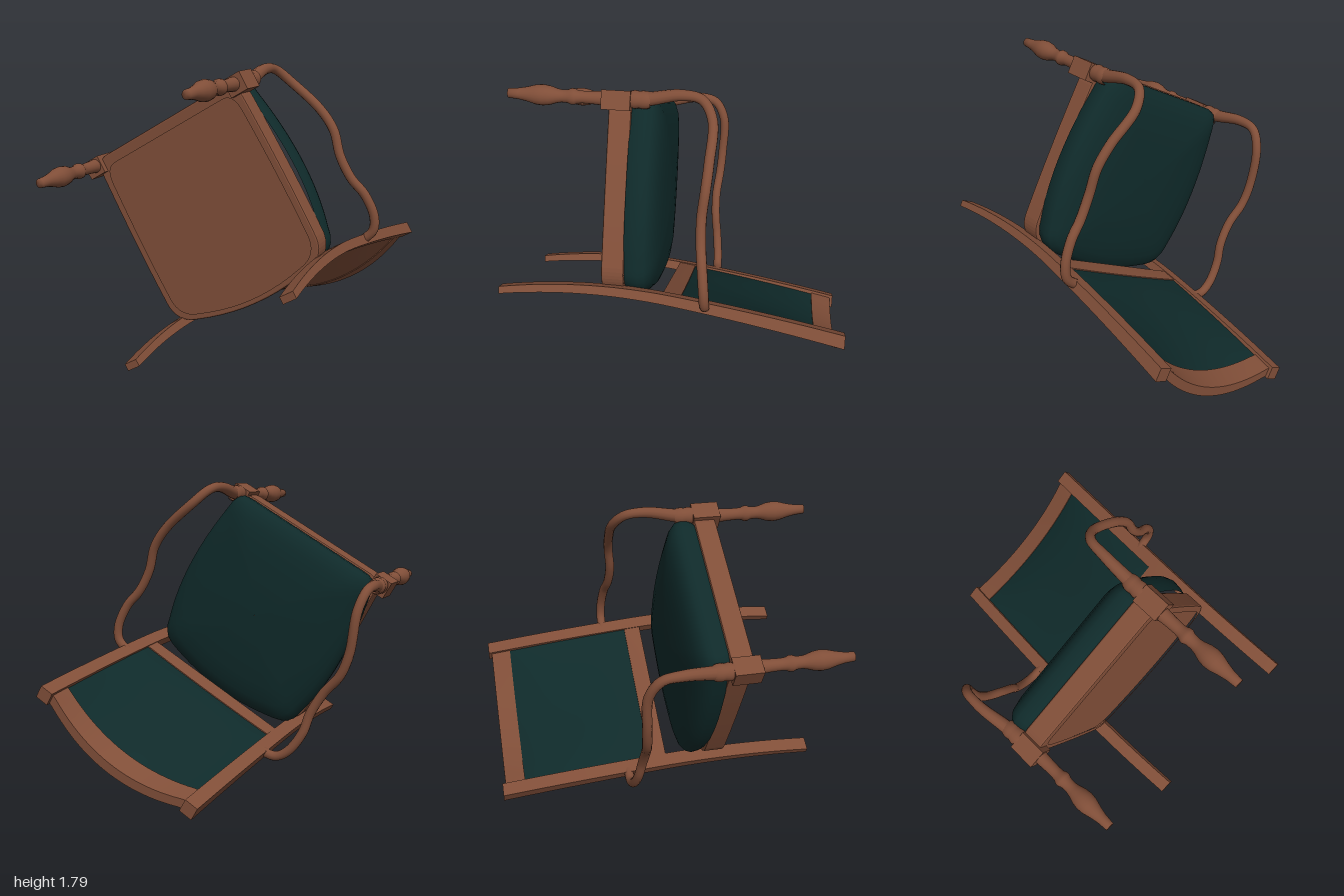
import * as THREE from 'three';

const wood = new THREE.MeshStandardMaterial({ color: 0x804e38 });
wood.name = 'brown wood';
const fabric = new THREE.MeshStandardMaterial({ color: 0x0f2a2a });
fabric.name = 'dark green fabric';

// Seat plan in (x, z): straight front, bowed sides, rounded and curved back
function seatOutline(w, bow, front) {
  const s = new THREE.Shape();
  s.moveTo(-w + 0.08, front);
  s.lineTo(w - 0.08, front);
  s.quadraticCurveTo(w - 0.01, front, w, front - 0.1);
  s.quadraticCurveTo(w + bow, 0.02, w + 0.01, -0.36);
  s.quadraticCurveTo(w, -0.48, w - 0.13, -0.505);
  s.quadraticCurveTo(0, -0.61, -w + 0.13, -0.505);
  s.quadraticCurveTo(-w, -0.48, -w - 0.01, -0.36);
  s.quadraticCurveTo(-w - bow, 0.02, -w, front - 0.1);
  s.quadraticCurveTo(-w + 0.01, front, -w + 0.08, front);
  return s;
}

// Sweep of the rear posts: depth at a given height
const postZ = (y) => -0.522 - 0.13 * y - (y > 0 ? 0.033 : 0.14) * y * y;
// The back curves more towards the crest
const backBow = (x, y) => 0.13 * Math.max(0, y) * Math.max(0, 1 - (x / 0.5) ** 2);

// Subdivided box that follows a depth rule
function bentBox(w, y0, y1, d, sx, sy, rule) {
  const g = new THREE.BoxGeometry(w, y1 - y0, d, sx, sy, 1);
  g.translate(0, (y0 + y1) / 2, 0);
  const p = g.attributes.position;
  for (let i = 0; i < p.count; i++) p.setZ(i, rule(p.getX(i), p.getY(i), p.getZ(i)));
  g.computeVertexNormals();
  return g;
}

// Padded dome built from shrinking rings of the seat plan
function cushionGeometry() {
  const pts = seatOutline(0.535, 0.11, 0.63).getSpacedPoints(96);
  pts.pop();
  const n = pts.length;
  const rings = [[-0.285, 0.975], [-0.25, 1.0], [-0.2, 1.01], [-0.165, 0.99], [-0.135, 0.94],
    [-0.11, 0.84], [-0.093, 0.68], [-0.081, 0.46], [-0.075, 0.22], [-0.073, 0.002]];
  const pos = [], idx = [];
  rings.forEach(([h, s], r) => {
    pts.forEach((q, i) => {
      pos.push(q.x * s, h, 0.05 + (q.y - 0.05) * s);
      if (r === 0) return;
      const a = (r - 1) * n + i, b = (r - 1) * n + (i + 1) % n;
      idx.push(a, b, a + n, b, b + n, a + n);
    });
  });
  const g = new THREE.BufferGeometry();
  g.setAttribute('position', new THREE.Float32BufferAttribute(pos, 3));
  g.setIndex(idx);
  g.computeVertexNormals();
  return g;
}

// Arm tube, thicker near its foot
function armGeometry(side) {
  const path = new THREE.CatmullRomCurve3([
    [0.55, -0.3, 0.6], [0.555, -0.18, 0.615], [0.57, 0, 0.645], [0.578, 0.12, 0.625],
    [0.607, 0.185, 0.516], [0.693, 0.185, 0.285], [0.712, 0.175, 0.135], [0.68, 0.16, -0.02],
    [0.676, 0.165, -0.173], [0.7, 0.18, -0.298], [0.685, 0.195, -0.442], [0.635, 0.2, -0.52],
    [0.53, 0.2, -0.55],
  ].map(([x, y, z]) => new THREE.Vector3(x * side, y, z)));
  const segs = 90, radial = 12;
  const g = new THREE.TubeGeometry(path, segs, 1, radial);
  const p = g.attributes.position, nrm = g.attributes.normal;
  for (let i = 0; i < p.count; i++) {
    const t = Math.floor(i / (radial + 1)) / segs;
    const r = 0.029 + 0.016 * Math.max(0, 1 - t / 0.22);
    const c = path.getPointAt(t);
    p.setXYZ(i, c.x + nrm.getX(i) * r, c.y + nrm.getY(i) * r, c.z + nrm.getZ(i) * r);
  }
  return g;
}

const lathe = (profile) =>
  new THREE.LatheGeometry(profile.map(([r, y]) => new THREE.Vector2(r, y)), 20);

export function createModel() {
  const model = new THREE.Group();
  model.name = 'armchair';
  const chair = new THREE.Group();
  chair.name = 'chair lying on its back';
  model.add(chair);

  const add = (name, geometry, material, x = 0, y = 0, z = 0) => {
    const m = new THREE.Mesh(geometry, material);
    m.name = name;
    m.position.set(x, y, z);
    chair.add(m);
    return m;
  };

  // Seat frame, recessed bottom board and cushion
  const frame = seatOutline(0.535, 0.02, 0.625);
  const hole = seatOutline(0.5, 0.02, 0.59).getPoints(10)
    .map((q) => new THREE.Vector2(q.x, q.y * 0.96));
  frame.holes.push(new THREE.Path(hole));
  const lay = (shape, depth, bevel) => new THREE.ExtrudeGeometry(shape, {
    depth, curveSegments: 10, bevelEnabled: bevel > 0, bevelSize: bevel,
    bevelThickness: bevel, bevelSegments: 2,
  }).rotateX(Math.PI / 2);
  add('seatFrame', lay(frame, 0.11, 0.01), wood, 0, -0.29, 0);
  add('seatBoard', lay(seatOutline(0.53, 0.02, 0.615), 0.1, 0), wood, 0, -0.295, 0);
  add('seatCushion', cushionGeometry(), fabric);

  // Turned front legs, corner blocks, arms and collars
  const legProfile = [[0, -0.99], [0.027, -0.99], [0.032, -0.93], [0.042, -0.88], [0.056, -0.83],
    [0.06, -0.79], [0.055, -0.75], [0.042, -0.71], [0.036, -0.68], [0.038, -0.645],
    [0.047, -0.625], [0.046, -0.605], [0.038, -0.59], [0.035, -0.56], [0.037, -0.5],
    [0.042, -0.44]];
  const collarProfile = [[0.046, -0.29], [0.053, -0.26], [0.048, -0.235], [0.052, -0.215],
    [0.05, -0.19], [0.042, -0.17]];
  for (const side of [-1, 1]) {
    const tag = side > 0 ? 'left' : 'right';
    add(tag + 'FrontLeg', lathe(legProfile), wood, 0.54 * side, 0, 0.605);
    add(tag + 'CornerBlock', new THREE.BoxGeometry(0.115, 0.165, 0.11), wood,
      0.55 * side, -0.362, 0.597);
    add(tag + 'ArmCollar', lathe(collarProfile), wood, 0.552 * side, 0, 0.608);
    add(tag + 'Arm', armGeometry(side), wood);

    // Rear post: leg and back upright in one sweep
    const post = bentBox(0.084, -1, 1, 1, 1, 32,
      (x, y, z) => postZ(y) + z * (0.06 + 0.018 * y));
    add(tag + 'RearPost', post, wood, 0.535 * side, 0, 0);
  }

  // Curved rails across the back
  const rail = (offset) => (x, y, z) => postZ(y) - backBow(x, y) + z + offset;
  add('lowerRail', bentBox(1.02, -0.05, 0.055, 0.05, 16, 2, rail(0)), wood);
  add('crestRail', bentBox(1.02, 0.855, 0.98, 0.056, 24, 3, rail(0)), wood);

  // Back board and its padded front
  add('backBoard', bentBox(1.0, 0.04, 0.87, 0.02, 24, 16, rail(-0.012)), wood);
  add('backPad', bentBox(0.99, 0.05, 0.862, 0.02, 24, 16, (x, y, z) => {
    const puff = Math.max(0, 1 - (x / 0.495) ** 4) * Math.max(0, 1 - ((y - 0.456) / 0.406) ** 4);
    return rail(0.008)(x, y, z) + (z > 0 ? 0.02 * puff : 0);
  }), fabric);

  // Tip the chair so that its top points to -z and its front to the upper left
  const axisX = new THREE.Vector3(Math.cos(Math.PI / 6), 0.5, 0);
  const axisY = new THREE.Vector3(0, 0, -1);
  const axisZ = new THREE.Vector3(-0.5, Math.cos(Math.PI / 6), 0);
  chair.quaternion.setFromRotationMatrix(new THREE.Matrix4().makeBasis(axisX, axisY, axisZ));
  chair.position.set(0, 0.923, 0);
  return model;
}
